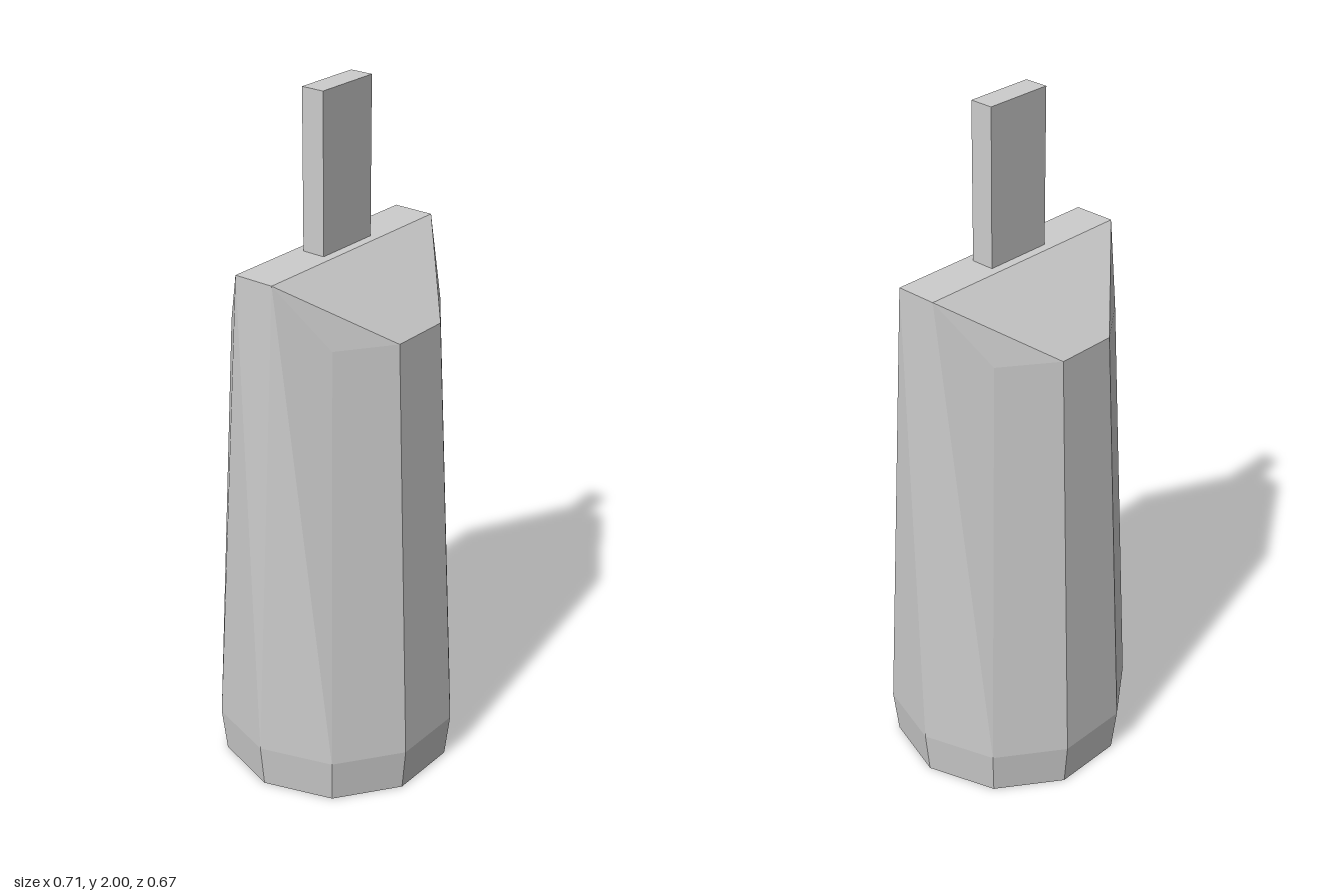
import * as THREE from 'three';
import { ConvexGeometry } from 'three/addons/geometries/ConvexGeometry.js';

export function createModel() {
  const group = new THREE.Group();
  const grey = new THREE.MeshStandardMaterial({ color: 0xcccccc });
  grey.name = 'lightGrey';

  // Ten-sided ring of points with corners on the x axis
  const ring = (radius, y, skip = () => false) => {
    const points = [];
    for (let i = 0; i < 10; i++) {
      if (skip(i)) continue;
      const a = (i * Math.PI) / 5;
      points.push(new THREE.Vector3(radius * Math.cos(a), y, radius * Math.sin(a)));
    }
    return points;
  };

  // Tapered body: bevelled foot, sloped shoulders, narrow flat ridge
  const ridge = [];
  for (const x of [-0.339, 0.339]) {
    for (const z of [-0.06, 0.06]) ridge.push(new THREE.Vector3(x, 1.56, z));
  }
  const body = new THREE.Mesh(
    new ConvexGeometry([
      ...ring(0.338, 0),
      ...ring(0.353, 0.13),
      ...ring(0.291, 1.375, (i) => i % 5 === 0),
      ...ridge,
    ]),
    grey
  );
  body.name = 'body';
  group.add(body);

  // Flat upright tab on the ridge
  const tab = new THREE.Mesh(new THREE.BoxGeometry(0.2, 0.45, 0.068), grey);
  tab.name = 'topTab';
  tab.position.y = 1.775;
  group.add(tab);

  return group;
}
